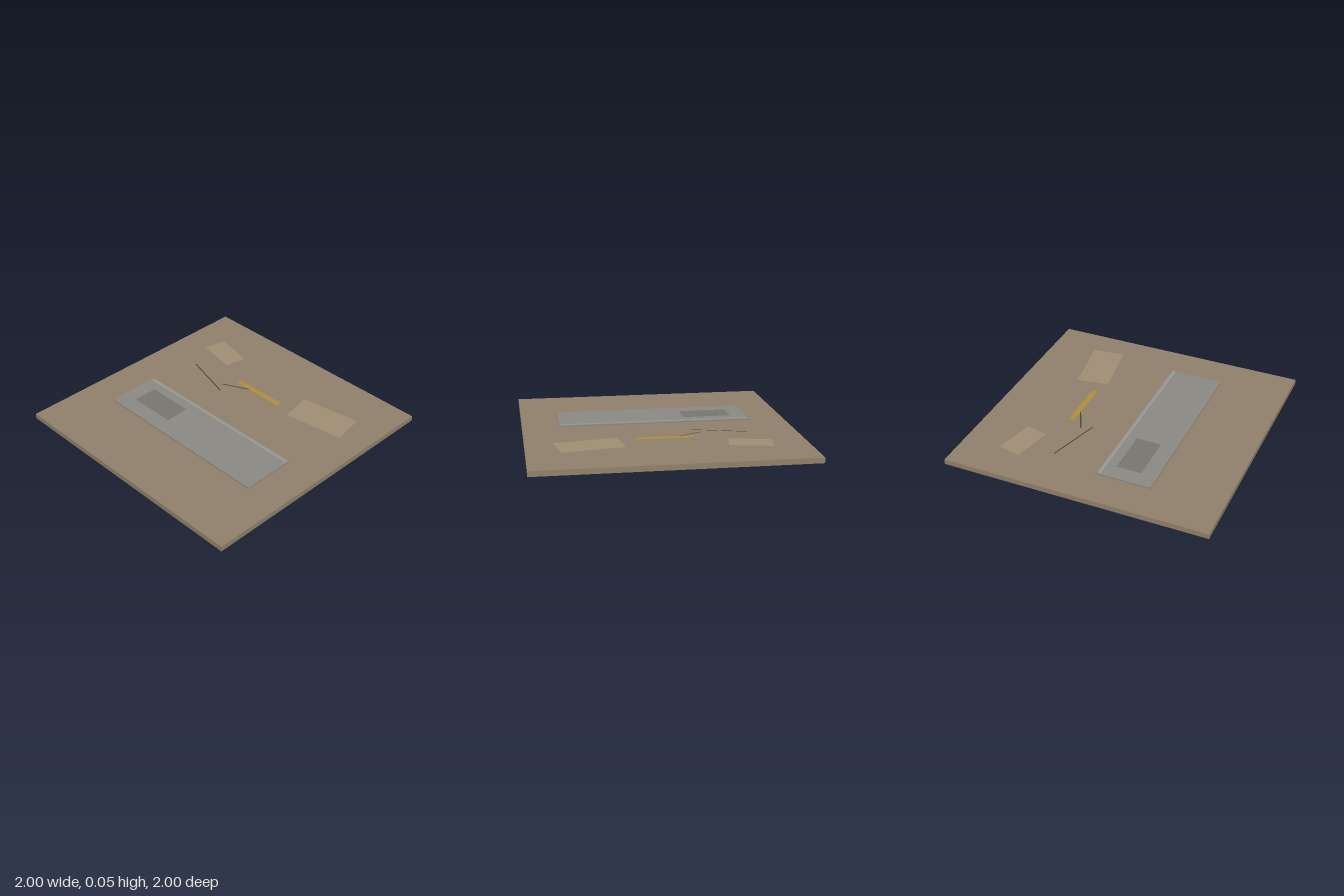
import * as THREE from 'three';

const mat = (color, side = THREE.FrontSide) => new THREE.MeshStandardMaterial({ color, side });

export function createModel() {
  const group = new THREE.Group();

  // solid block resting at height y0
  const block = (name, color, [w, h, d], [x, y0, z], turn = 0) => {
    const mesh = new THREE.Mesh(new THREE.BoxGeometry(w, h, d), mat(color));
    mesh.name = name;
    mesh.position.set(x, y0 + h / 2, z);
    mesh.rotation.y = turn;
    group.add(mesh);
  };

  // flat sheet lying at height y
  const sheet = (name, color, [w, d], [x, y, z], turn = 0) => {
    const geometry = new THREE.PlaneGeometry(w, d).rotateX(-Math.PI / 2);
    const mesh = new THREE.Mesh(geometry, mat(color, THREE.DoubleSide));
    mesh.name = name;
    mesh.position.set(x, y, z);
    mesh.rotation.y = turn;
    group.add(mesh);
  };

  // thin stick between two points on the board, given as [x, z]
  const stick = (name, [x1, z1], [x2, z2]) => {
    const dx = x2 - x1, dz = z2 - z1;
    sheet(name, 0x4a423e, [Math.hypot(dx, dz), 0.01],
      [(x1 + x2) / 2, 0.05, (z1 + z2) / 2], Math.atan2(-dz, dx));
  };

  // base board
  block('board', 0x8f806a, [2, 0.04, 2], [0, 0, 0]);

  // long grey plate with a pale edge strip and a dark patch
  block('plate', 0x8a8882, [1.445, 0.01, 0.415], [0, 0.04, 0.265]);
  sheet('plateEdgeStrip', 0x9a978f, [1.43, 0.022], [0, 0.0525, 0.08]);
  sheet('platePatch', 0x777570, [0.366, 0.19], [-0.418, 0.053, 0.257]);

  // loose paper sheets
  sheet('leftSheet', 0x9f8e74, [0.312, 0.173], [-0.585, 0.05, -0.588], -0.21);
  sheet('rightSheet', 0x9f8e74, [0.465, 0.248], [0.547, 0.05, -0.488], 0.15);

  // yellow bar and the two dark sticks beside it
  sheet('yellowBar', 0xb08d3c, [0.425, 0.043], [-0.002, 0.0525, -0.383]);
  stick('longStick', [-0.635, -0.31], [-0.235, -0.195]);
  stick('shortStick', [-0.287, -0.266], [-0.07, -0.375]);

  return group;
}
